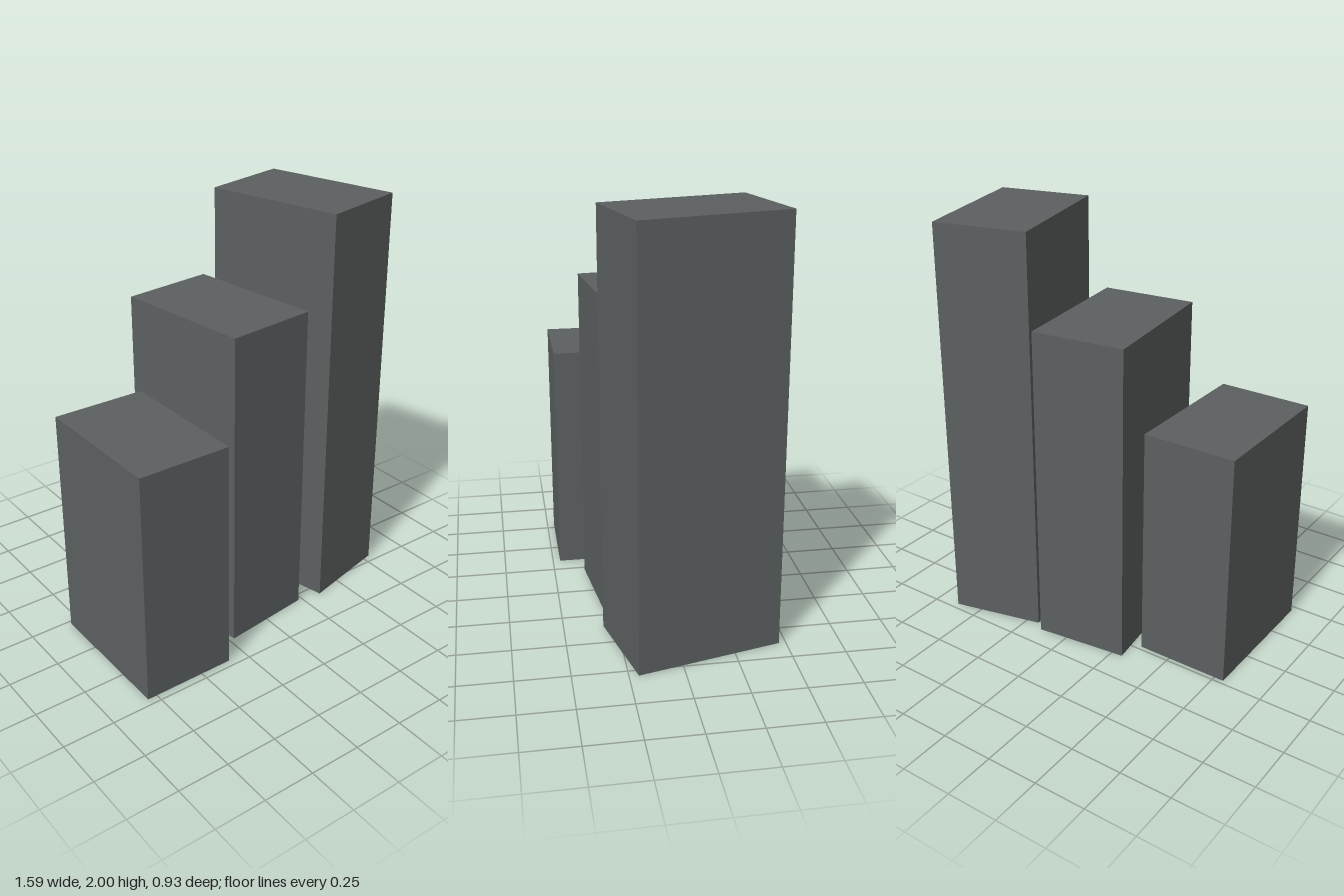
import * as THREE from 'three';

export function createModel() {
  const model = new THREE.Group();
  const darkGrey = new THREE.MeshStandardMaterial({ color: 0x5c6060 });
  darkGrey.name = 'darkGrey';

  // Three blocks of equal footprint, rising and turning step by step
  const width = 0.454, depth = 0.693;
  const blocks = [
    { name: 'shortBlock', x: -0.57, z: 0.117, height: 1.143, turn: 0 },
    { name: 'middleBlock', x: -0.039, z: -0.026, height: 1.571, turn: 6.8 },
    { name: 'tallBlock', x: 0.491, z: -0.077, height: 2, turn: 13.6 },
  ];
  for (const { name, x, z, height, turn } of blocks) {
    const block = new THREE.Mesh(new THREE.BoxGeometry(width, height, depth), darkGrey);
    block.name = name;
    block.position.set(x, height / 2, z);
    block.rotation.y = THREE.MathUtils.degToRad(turn);
    model.add(block);
  }
  return model;
}
